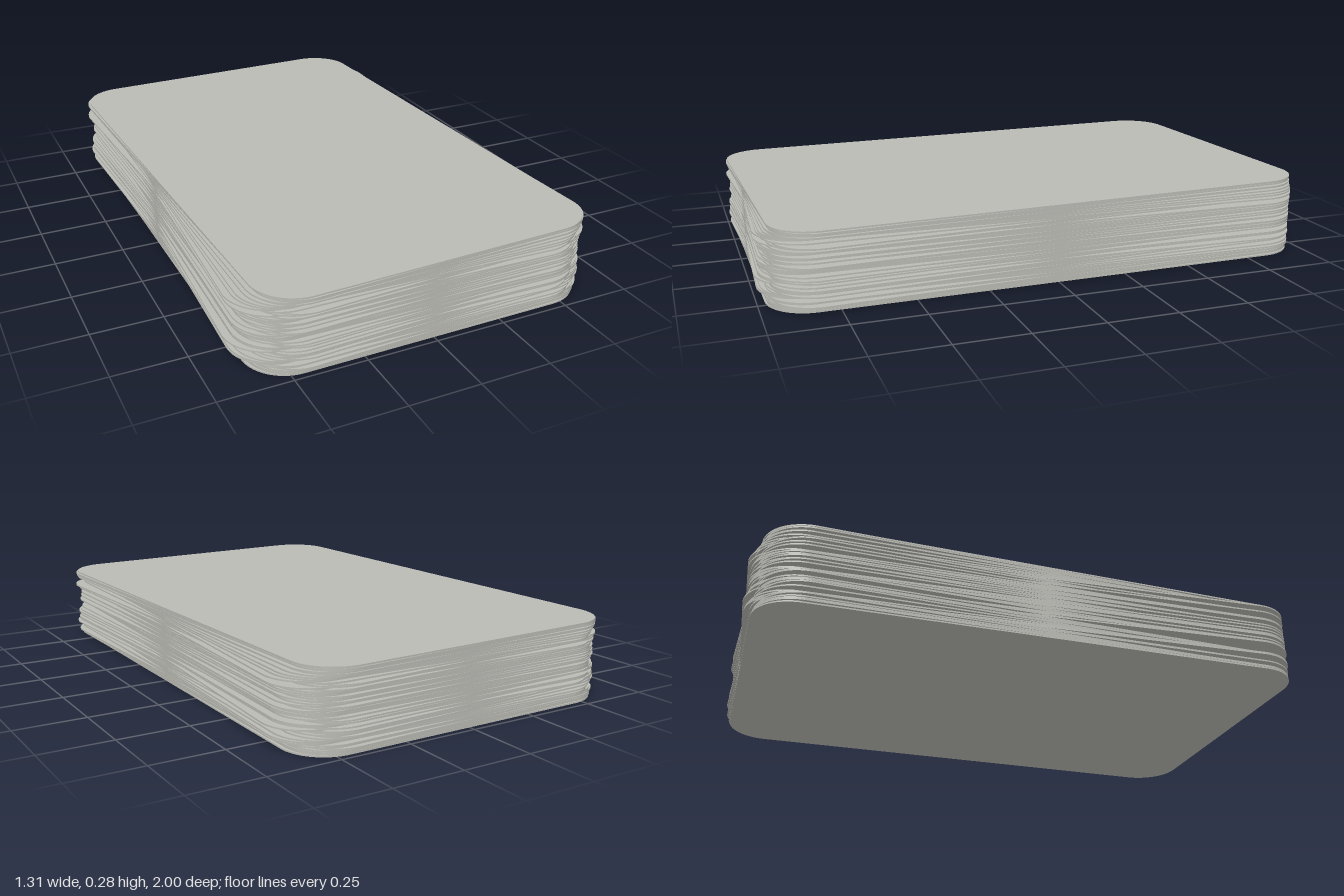
import * as THREE from 'three';

const COUNT = 52, HEIGHT = 0.275, HALF_W = 0.613, HALF_L = 0.977, RADIUS = 0.15;
const MAX_TWIST = THREE.MathUtils.degToRad(3);

// small seeded generator, 0 to 1
function seeded(seed) {
  return () => {
    seed = (seed * 16807) % 2147483647;
    return seed / 2147483647;
  };
}

// one thin card with rounded corners, lying flat on y = 0
function cardGeometry(thickness) {
  const s = new THREE.Shape();
  const cx = HALF_W - RADIUS, cy = HALF_L - RADIUS;
  s.absarc(cx, cy, RADIUS, 0, Math.PI / 2);
  s.absarc(-cx, cy, RADIUS, Math.PI / 2, Math.PI);
  s.absarc(-cx, -cy, RADIUS, Math.PI, Math.PI * 1.5);
  s.absarc(cx, -cy, RADIUS, Math.PI * 1.5, Math.PI * 2);
  s.closePath();
  const g = new THREE.ExtrudeGeometry(s, { depth: thickness, bevelEnabled: false, curveSegments: 10 });
  return g.rotateX(-Math.PI / 2);
}

export function createModel() {
  const deck = new THREE.Group();
  deck.name = 'cardDeck';
  const cardGrey = new THREE.MeshStandardMaterial({ color: 0xbabab4 });
  cardGrey.name = 'cardGrey';

  const thickness = HEIGHT / COUNT;
  const geometry = cardGeometry(thickness);
  const random = seeded(4711);

  // stack of cards, each twisted a little about the vertical axis
  for (let i = 0; i < COUNT; i++) {
    const card = new THREE.Mesh(geometry, cardGrey);
    card.name = `card${i + 1}`;
    card.position.y = i * thickness;
    let twist = (random() * 2 - 1) * MAX_TWIST;
    if (i === 0) twist = 0.006;
    if (i === COUNT - 1) twist = 0.035;
    if (i === 15) twist = -MAX_TWIST;
    if (i === 41) twist = MAX_TWIST;
    card.rotation.y = twist;
    deck.add(card);
  }
  return deck;
}
